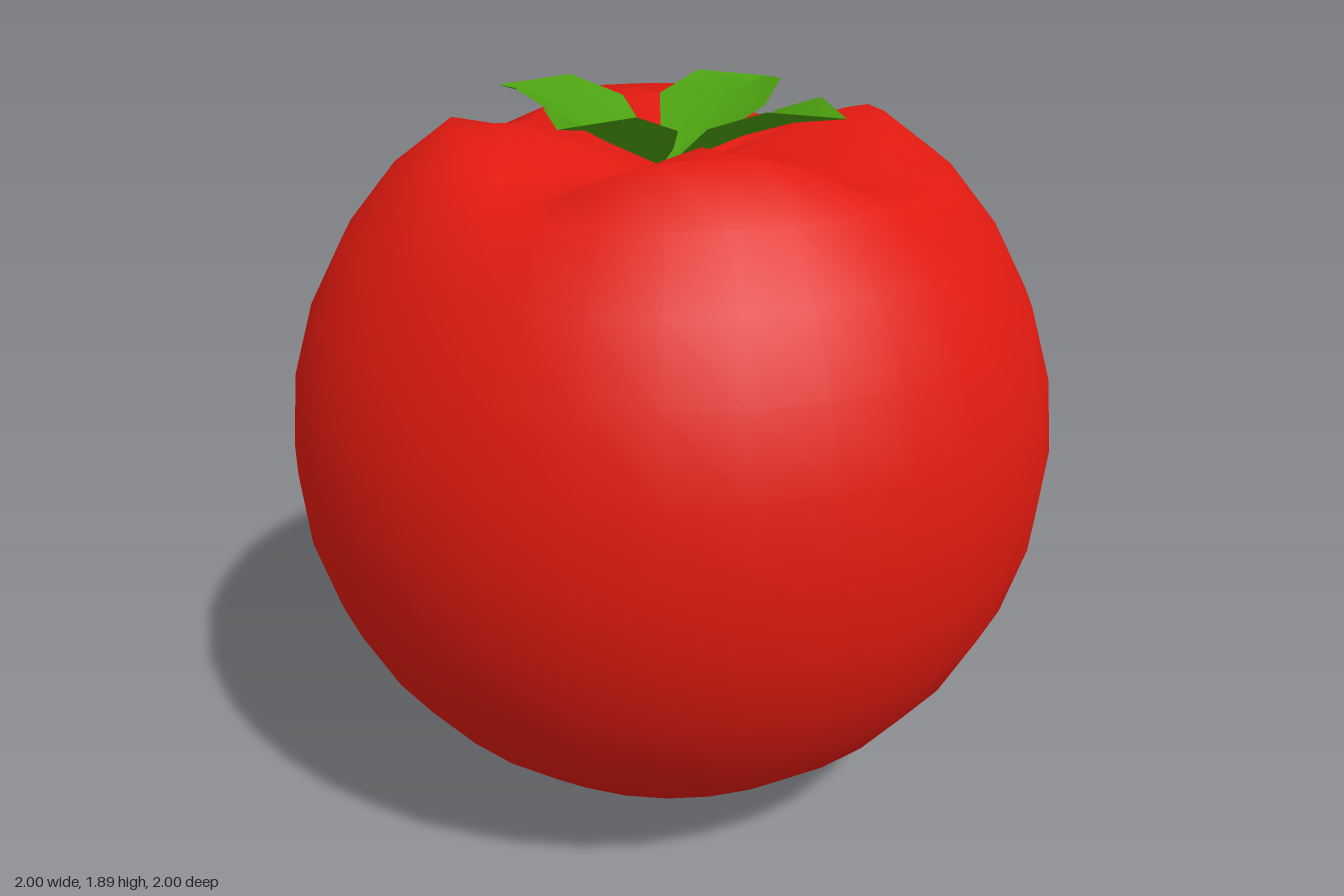
import * as THREE from 'three';
import { mergeVertices } from 'three/addons/utils/BufferGeometryUtils.js';

const red = new THREE.MeshStandardMaterial({ color: 0xe01a10 });
const green = new THREE.MeshStandardMaterial({ color: 0x4ca010, side: THREE.DoubleSide });

// Round fruit: a sphere whose top is pressed down into four lobes split by a cross of valleys
function createFruit() {
  let geo = new THREE.SphereGeometry(1, 32, 16);
  geo.deleteAttribute('uv');
  geo.deleteAttribute('normal');
  geo = mergeVertices(geo, 1e-4);
  const p = geo.attributes.position;
  for (let i = 0; i < p.count; i++) {
    const x = p.getX(i), z = p.getZ(i);
    const lobe = Math.min(1, Math.min(Math.abs(x), Math.abs(z)) / 0.27);
    const dip = 0.03 * Math.max(0, 1 - Math.hypot(x, z) / 0.3);
    p.setY(i, 1 + Math.min(p.getY(i), 0.7 + 0.12 * lobe - dip));
  }
  geo.computeVertexNormals();
  const mesh = new THREE.Mesh(geo, red);
  mesh.name = 'fruit';
  return mesh;
}

// Leaf pointing along +x: rows of [distance, half width, midrib y, edge y]
const leafRows = [
  [0, 0.005, 1.71, 1.71],
  [0.11, 0.1, 1.755, 1.775],
  [0.21, 0.17, 1.8, 1.84],
  [0.35, 0.135, 1.845, 1.888],
  [0.49, 0.002, 1.867, 1.868],
];

function createLeafGeometry() {
  const pos = [], index = [];
  leafRows.forEach(([d, w, mid, edge], i) => {
    pos.push(d, edge, -w, d, mid, 0, d, edge, w);
    if (i === 0) return;
    for (let k = 0; k < 2; k++) {
      const a = (i - 1) * 3 + k, b = a + 3;
      index.push(a, a + 1, b, b, a + 1, b + 1);
    }
  });
  const geo = new THREE.BufferGeometry();
  geo.setAttribute('position', new THREE.Float32BufferAttribute(pos, 3));
  geo.setIndex(index);
  geo.computeVertexNormals();
  return geo;
}

export function createModel() {
  const model = new THREE.Group();
  model.name = 'tomato';
  model.add(createFruit());

  // Four leaves: [name, base x, base z, tip x, tip z]
  const leafGeo = createLeafGeometry();
  const leaves = [
    ['leftLeaf', 0.01, 0.01, 0.495, 0],
    ['rightLeaf', -0.01, 0.03, -0.5, 0.08],
    ['frontLeaf', 0, 0.05, 0.03, 0.49],
    ['backLeaf', -0.01, 0, -0.01, -0.455],
  ];
  for (const [name, bx, bz, tx, tz] of leaves) {
    const leaf = new THREE.Mesh(leafGeo, green);
    const length = Math.hypot(tx - bx, tz - bz) / 0.49;
    leaf.name = name;
    leaf.position.set(bx, 0, bz);
    leaf.rotation.y = -Math.atan2(tz - bz, tx - bx);
    leaf.scale.set(length, 1, 0.97);
    model.add(leaf);
  }
  return model;
}
